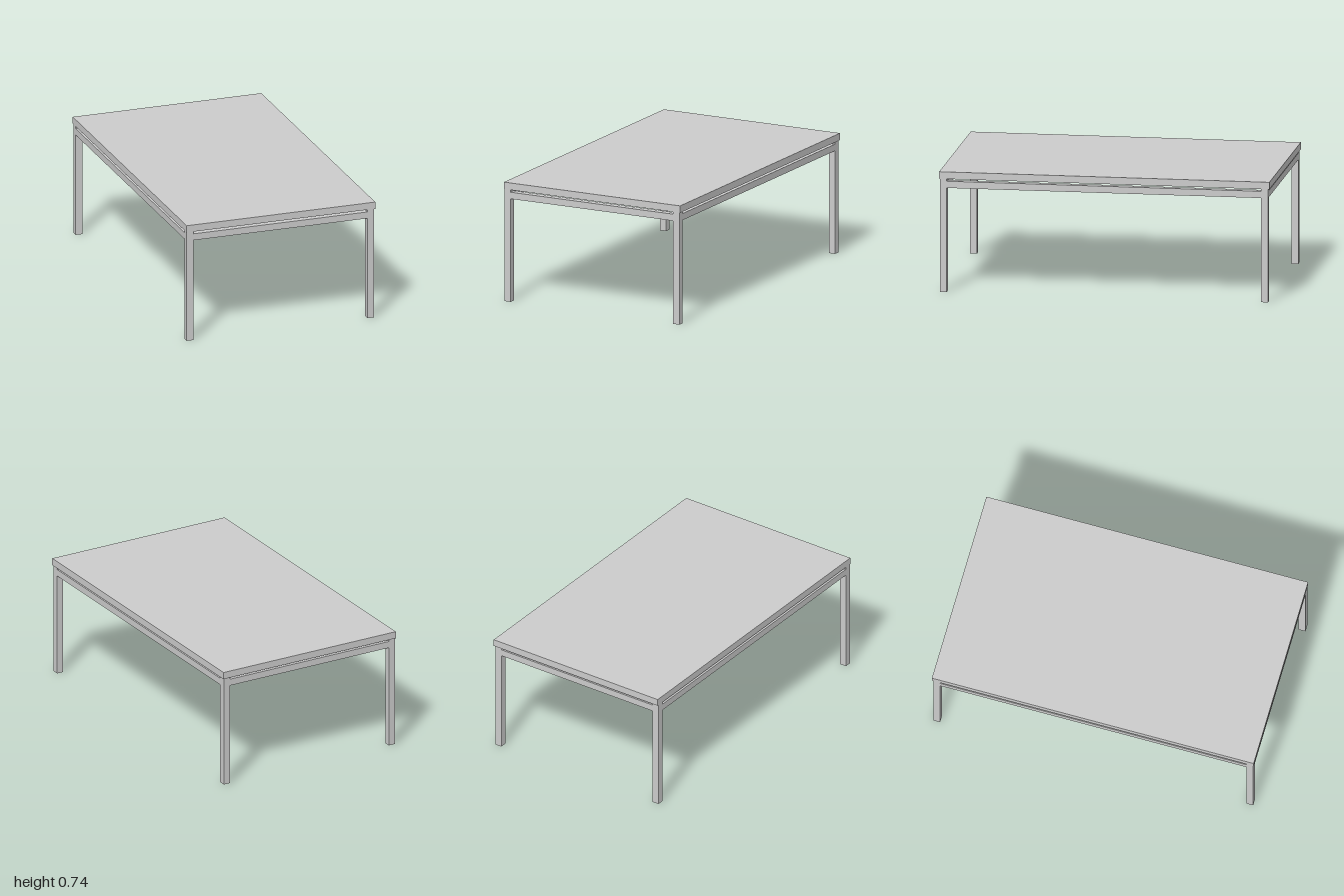
import * as THREE from 'three';

const material = new THREE.MeshStandardMaterial({ color: 0xcccccc, flatShading: true });

// Square tube width, and the frame's outer limits (set slightly off-centre under the top)
const T = 0.042;
const X0 = -0.599, X1 = 0.593, Z0 = -0.991, Z1 = 0.997;
const TOP = 0.735, UNDER = 0.692;
const RAIL_LOW = 0.636, RAIL_HIGH = 0.677;

// Box given by its lower and upper corners
function addBox(parent, name, [ax, ay, az], [bx, by, bz]) {
  const mesh = new THREE.Mesh(new THREE.BoxGeometry(bx - ax, by - ay, bz - az), material);
  mesh.position.set((ax + bx) / 2, (ay + by) / 2, (az + bz) / 2);
  mesh.name = name;
  parent.add(mesh);
}

export function createModel() {
  const table = new THREE.Group();
  table.name = 'table';

  // Flat slab top
  addBox(table, 'tableTop', [-0.6, UNDER, -1], [0.6, TOP, 1]);

  const frame = new THREE.Group();
  frame.name = 'frame';
  table.add(frame);

  // Four corner legs, reaching the underside of the top
  for (const [x, side] of [[X0, 'Right'], [X1 - T, 'Left']]) {
    for (const [z, end] of [[Z0, 'back'], [Z1 - T, 'front']]) {
      addBox(frame, `${end}${side}Leg`, [x, 0, z], [x + T, UNDER, z + T]);
    }
    // Long side rail between the legs, flush with their faces
    addBox(frame, `side${side}Rail`, [x, RAIL_LOW, Z0 + T], [x + T, RAIL_HIGH, Z1 - T]);
  }

  // Short end rails, leaving a narrow gap below the top
  for (const [z, end] of [[Z0, 'back'], [Z1 - T, 'front']]) {
    addBox(frame, `${end}Rail`, [X0 + T, RAIL_LOW, z], [X1 - T, RAIL_HIGH, z + T]);
  }
  return table;
}
